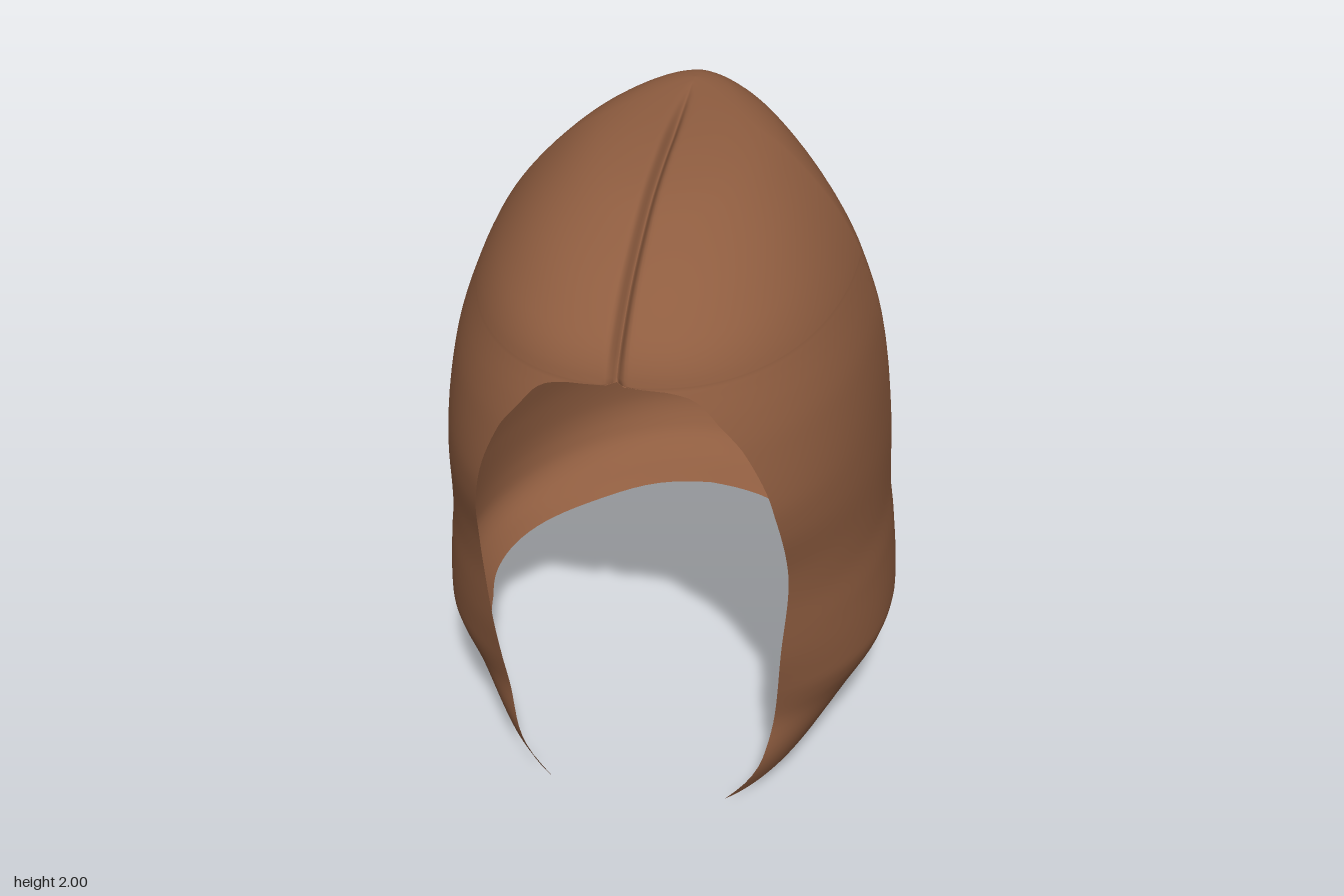
import * as THREE from 'three';

// Smooth monotone curve through [y, value] pairs listed from top to bottom
function curve(pts) {
  const n = pts.length;
  const d = pts.slice(1).map((p, i) => (p[1] - pts[i][1]) / (p[0] - pts[i][0]));
  const m = pts.map((_, i) => {
    if (i === 0) return d[0];
    if (i === n - 1) return d[n - 2];
    return d[i - 1] * d[i] <= 0 ? 0 : (2 * d[i - 1] * d[i]) / (d[i - 1] + d[i]);
  });
  return (y) => {
    if (y >= pts[0][0]) return pts[0][1];
    if (y <= pts[n - 1][0]) return pts[n - 1][1];
    let i = 0;
    while (y < pts[i + 1][0]) i++;
    const h = pts[i + 1][0] - pts[i][0];
    const t = (y - pts[i][0]) / h, t2 = t * t, t3 = t2 * t;
    return (2 * t3 - 3 * t2 + 1) * pts[i][1] + (t3 - 2 * t2 + t) * h * m[i]
      + (3 * t2 - 2 * t3) * pts[i + 1][1] + (t3 - t2) * h * m[i + 1];
  };
}

// Half width at each height
const width = curve([[2, 0], [1.997, 0.06], [1.99, 0.125], [1.975, 0.19], [1.95, 0.255], [1.9, 0.33],
  [1.8, 0.43], [1.7, 0.5], [1.6, 0.55], [1.4, 0.615], [1.2, 0.645], [1, 0.66], [0.8, 0.665],
  [0.65, 0.68], [0.42, 0.695], [0.36, 0.68], [0.3, 0.65], [0.25, 0.62], [0.2, 0.59], [0.1, 0.53],
  [0, 0.48]]);
// Depth of the back
const back = curve([[2, -0.29], [1.99, -0.35], [1.95, -0.43], [1.9, -0.48], [1.8, -0.535],
  [1.6, -0.58], [1.4, -0.615], [1.2, -0.655], [1, -0.7], [0.85, -0.75], [0.7, -0.795],
  [0.57, -0.81], [0.45, -0.775], [0.38, -0.7], [0.34, -0.6], [0.25, -0.5], [0, -0.4]]);
// Slimness of the back corners: 1 is an ellipse, more is leaner
const slimness = curve([[2, 1.1], [1.95, 1.2], [1.7, 1.32], [1.2, 1.32], [1, 1.24], [0.7, 1.1], [0.5, 1.06]]);
// Depth of the front; below the brow the face opening cuts it away
const front = curve([[2, -0.25], [1.997, -0.1], [1.99, 0.06], [1.975, 0.2], [1.95, 0.34],
  [1.9, 0.48], [1.85, 0.59], [1.8, 0.67], [1.75, 0.73], [1.7, 0.778], [1.65, 0.806], [1.6, 0.82],
  [1.5, 0.85], [1.4, 0.87], [1.2, 0.888], [1.1, 0.87], [0.9, 0.79], [0.6, 0.715], [0.3, 0.63],
  [0.1, 0.7], [0, 0.665]]);
// Half width of the face opening (0 where both halves meet)
const opening = curve([[1.612, 0], [1.6, 0.14], [1.57, 0.215], [1.5, 0.275], [1.4, 0.345], [1.2, 0.42],
  [1, 0.45], [0.88, 0.455], [0.6, 0.435], [0.3, 0.41], [0.15, 0.38], [0.06, 0.33], [0, 0.27]]);
const middle = curve([[2, -0.27], [1.99, -0.14], [1.95, -0.06], [1.8, -0.03], [1, -0.02], [0, 0]]);
// Hem height, from the front tips (1) round to the middle of the back (0)
const hem = curve([[1, 0.003], [0.97, 0.012], [0.9, 0.057], [0.8, 0.133], [0.65, 0.215], [0.55, 0.258],
  [0.4, 0.295], [0.25, 0.315], [0.1, 0.338], [0, 0.342]]);

// Point of the shell: u runs from one front edge round the back to the other
function shellPoint(u, level) {
  const fold = 0.7;
  const y = level > fold ? level : fold - ((fold - level) / fold) * (fold - hem(Math.abs(u)));
  const w = width(y), zc = middle(y), pFront = 0.87;
  const edge = w > 0 ? Math.PI - Math.asin(Math.pow(opening(y) / w, 1 / pFront)) : Math.PI;
  const s = Math.sin(u * edge), c = -Math.cos(u * edge);
  const p = c > 0 ? pFront : slimness(y);
  const x = Math.sign(s) * w * Math.pow(Math.abs(s), p);
  const z = zc + ((c > 0 ? front(y) : back(y)) - zc) * Math.pow(Math.abs(c), p);
  // Narrow parting groove along the middle of the top and brow
  const groove = z > -0.25 && y > 1.6
    ? Math.exp(-Math.pow(x / 0.014, 2)) * Math.min(1, (z + 0.25) / 0.3) : 0;
  return [x, y - 0.03 * groove * Math.min(1, (y - 1.6) / 0.1), z - 0.025 * groove];
}

function shellGeometry() {
  // Rows are closer at the crown and at the top of the face opening
  const levels = [2, 1.9995, 1.9985, 1.997, 1.994, 1.99, 1.985, 1.98, 1.972, 1.962, 1.95, 1.935, 1.92,
    1.9, 1.875, 1.85, 1.825, 1.8, 1.775, 1.75, 1.725, 1.7, 1.675, 1.65, 1.63, 1.613, 1.61, 1.606,
    1.6, 1.59, 1.58, 1.565, 1.55, 1.525];
  for (let i = 0; i <= 50; i++) levels.push(1.5 * (1 - i / 50));
  // Columns are closer at the front edges
  const half = 60, cols = half * 2 + 1, pos = [], index = [];
  levels.forEach((level) => {
    for (let j = -half; j <= half; j++) {
      const k = Math.abs(j) / half;
      pos.push(...shellPoint(Math.sign(j) * (1 - Math.pow(1 - k, 1.7)), level));
    }
  });
  for (let r = 0; r < levels.length - 1; r++) {
    for (let j = 0; j < cols - 1; j++) {
      const a = r * cols + j, b = a + cols;
      index.push(a, a + 1, b, a + 1, b + 1, b);
    }
  }
  const g = new THREE.BufferGeometry();
  g.setAttribute('position', new THREE.Float32BufferAttribute(pos, 3));
  g.setIndex(index);
  g.computeVertexNormals();
  return g;
}

export function createModel() {
  const brown = new THREE.MeshStandardMaterial({ color: 0x8f5d40, side: THREE.DoubleSide });
  brown.name = 'brown';
  const group = new THREE.Group();
  group.name = 'partedHair';
  const shell = new THREE.Mesh(shellGeometry(), brown);
  shell.name = 'hairShell';
  group.add(shell);
  return group;
}
